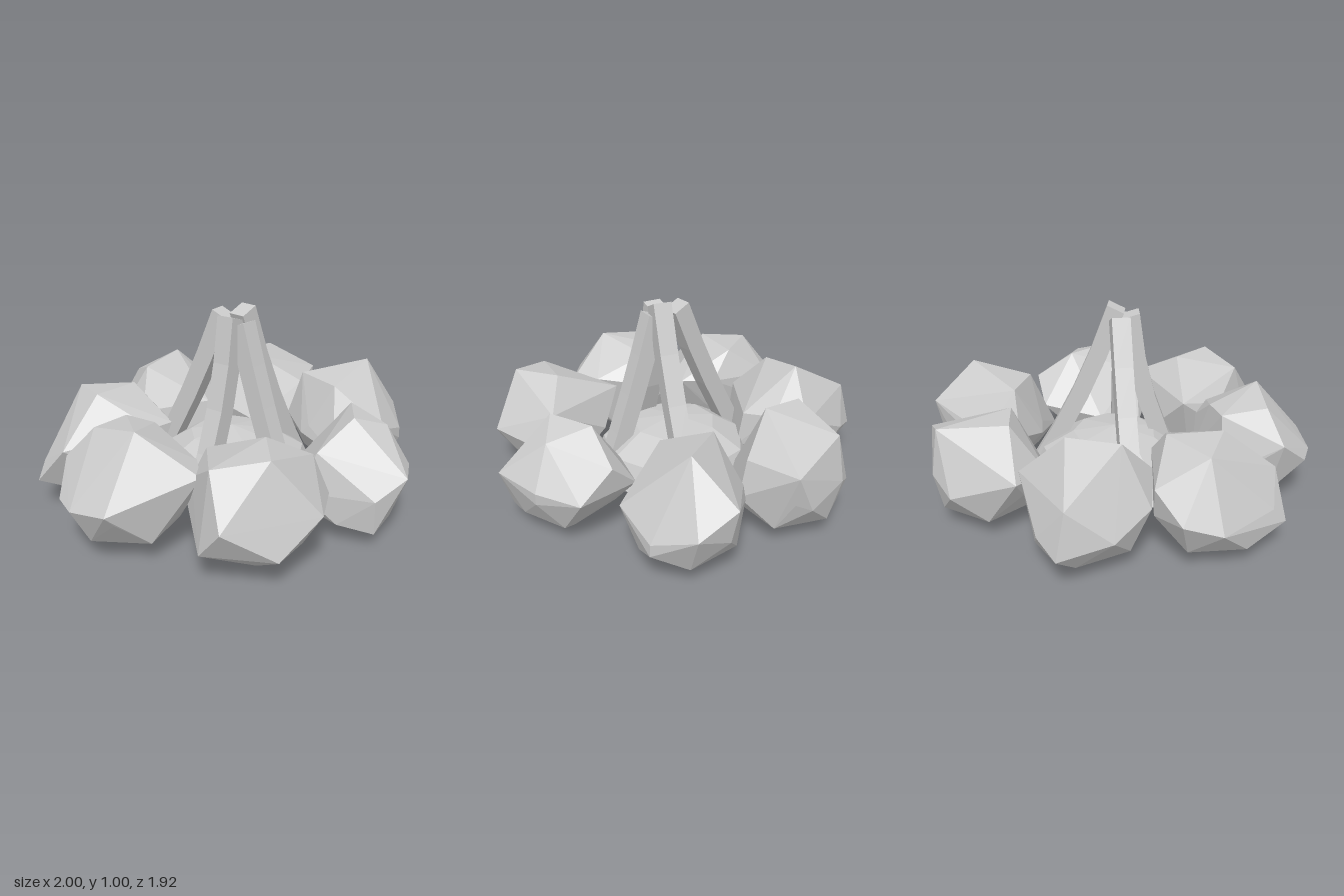
import * as THREE from 'three';
import { ConvexGeometry } from 'three/addons/geometries/ConvexGeometry.js';

const material = new THREE.MeshStandardMaterial({ color: 0xcccccc, flatShading: true });
const openMaterial = new THREE.MeshStandardMaterial({ color: 0xcccccc, flatShading: true, side: THREE.DoubleSide });

// Faceted stone: hull of its upper corners plus a rounded underside around (cx, cz)
function makeRock(cx, cz, base, corners) {
  const points = corners.map(([x, y, z]) => new THREE.Vector3(x, y, z));
  const inward = Math.atan2(-cz, -cx);
  const addRing = (radius, y, turn) => {
    for (let i = 0; i < 5; i++) {
      const a = inward + turn + (i / 5) * Math.PI * 2;
      points.push(new THREE.Vector3(cx + radius * Math.cos(a), y, cz + radius * Math.sin(a)));
    }
  };
  addRing(0.29, 0.25, 0);
  addRing(0.23, 0.11, Math.PI / 5);
  points.push(new THREE.Vector3(cx, base, cz));
  return new THREE.Mesh(new ConvexGeometry(points), material);
}

// Square log leaning from its foot up to the tip, bowed slightly inward
function makeLog(top, foot, sag) {
  const a = new THREE.Vector3(...top);
  const b = new THREE.Vector3(...foot);
  const length = a.distanceTo(b);
  const geometry = new THREE.BoxGeometry(0.092, 0.092, length, 1, 1, 4);
  const pos = geometry.attributes.position;
  for (let i = 0; i < pos.count; i++) {
    const t = (2 * pos.getZ(i)) / length;
    pos.setY(i, pos.getY(i) - sag * (1 - t * t));
  }
  const log = new THREE.Mesh(geometry, material);
  log.position.copy(a).add(b).multiplyScalar(0.5);
  log.lookAt(a);
  return log;
}

export function createModel() {
  const group = new THREE.Group();
  const add = (mesh, name) => { mesh.name = name; group.add(mesh); };

  // Ring of stones
  add(makeRock(0.67, 0.05, 0.05, [
    [0.79, 0.61, 0.05], [0.94, 0.42, -0.13], [1, 0.32, 0.05], [0.89, 0.19, 0.24], [0.68, 0.32, 0.35],
    [0.42, 0.2, 0.28], [0.59, 0.32, -0.22], [0.47, 0.54, -0.1], [0.5, 0.53, 0.15], [0.4, 0.3, 0.07],
    [0.42, 0.3, -0.16], [0.86, 0.1, 0.03],
  ]), 'rightRock');
  add(makeRock(0.27, 0.58, 0.01, [
    [0.25, 0.57, 0.64], [0.38, 0.56, 0.45], [0.43, 0.51, 0.66], [0.47, 0.3, 0.26], [0.56, 0.43, 0.37],
    [0.62, 0.28, 0.52], [0.53, 0.31, 0.72], [0.37, 0.34, 0.89], [0.23, 0.08, 0.85], [0.05, 0.44, 0.64],
    [-0.03, 0.2, 0.46], [0.3, 0.25, 0.3], [0.51, 0.1, 0.6],
  ]), 'frontRightRock');
  add(makeRock(-0.29, 0.64, 0.01, [
    [-0.31, 0.56, 0.83], [-0.2, 0.56, 0.61], [-0.52, 0.51, 0.69], [-0.57, 0.31, 0.87], [-0.6, 0.16, 0.74],
    [-0.34, 0.16, 0.95], [-0.12, 0.31, 0.94], [0.06, 0.28, 0.73], [0.03, 0.44, 0.64],
    [-0.33, 0.42, 0.3], [-0.49, 0.38, 0.47],
  ]), 'frontRock');
  add(makeRock(-0.7, 0.25, 0.01, [
    [-0.7, 0.59, 0.35], [-0.8, 0.55, 0.12], [-0.6, 0.53, 0], [-0.51, 0.52, 0.13], [-0.91, 0.4, 0.03],
    [-1, 0.27, 0.18], [-1, 0.27, 0.32], [-0.91, 0.3, 0.5], [-0.48, 0.4, 0.54], [-0.43, 0.42, 0.4],
    [-0.41, 0.4, 0.25], [-0.64, 0.25, -0.06],
  ]), 'leftRock');
  add(makeRock(-0.64, -0.34, 0.04, [
    [-0.66, 0.57, -0.23], [-0.66, 0.55, -0.47], [-0.42, 0.56, -0.34], [-0.98, 0.17, -0.25], [-0.89, 0.36, -0.1],
    [-0.46, 0.42, -0.03], [-0.34, 0.42, -0.06], [-0.32, 0.42, -0.24], [-0.6, 0.3, -0.67], [-0.44, 0.4, -0.57],
    [-0.68, 0.3, -0.62], [-0.46, 0.2, -0.02],
  ]), 'backLeftRock');
  add(makeRock(-0.13, -0.62, 0.05, [
    [-0.04, 0.61, -0.62], [-0.27, 0.57, -0.52], [-0.16, 0.43, -0.92], [-0.14, 0.21, -0.97], [0.02, 0.3, -0.81],
    [0.19, 0.4, -0.63], [0.11, 0.4, -0.48], [0.01, 0.38, -0.34], [-0.37, 0.38, -0.36], [-0.43, 0.3, -0.57],
    [-0.3, 0.35, -0.76], [-0.34, 0.2, -0.33], [0.01, 0.2, -0.31],
  ]), 'backRock');
  add(makeRock(0.45, -0.46, 0.05, [
    [0.27, 0.58, -0.55], [0.6, 0.55, -0.65], [0.35, 0.58, -0.37], [0.77, 0.44, -0.43], [0.73, 0.28, -0.43],
    [0.47, 0.3, -0.72], [0.18, 0.35, -0.68], [0.62, 0.32, -0.68], [0.56, 0.43, -0.24], [0.39, 0.2, -0.19],
    [0.12, 0.33, -0.48],
  ]), 'backRightRock');

  // Hollow ash dome in the middle, open underneath
  const dome = new THREE.SphereGeometry(0.43, 9, 3, 0, Math.PI * 2, 0, Math.PI / 2);
  const ash = new THREE.Mesh(dome, openMaterial);
  ash.scale.y = 0.62;
  ash.position.set(-0.04, 0.11, 0.02);
  add(ash, 'ashHeap');

  // Leaning logs
  add(makeLog([-0.02, 0.99, 0.09], [0.39, 0.08, -0.02], 0.03), 'rightLog');
  add(makeLog([-0.04, 0.93, 0.12], [0.06, 0.13, 0.37], 0.01), 'frontLog');
  add(makeLog([-0.09, 0.96, 0.1], [-0.33, 0.1, 0.2], 0.045), 'leftLog');
  add(makeLog([-0.07, 0.96, 0], [-0.28, 0.1, -0.37], 0.02), 'backLog');

  return group;
}
